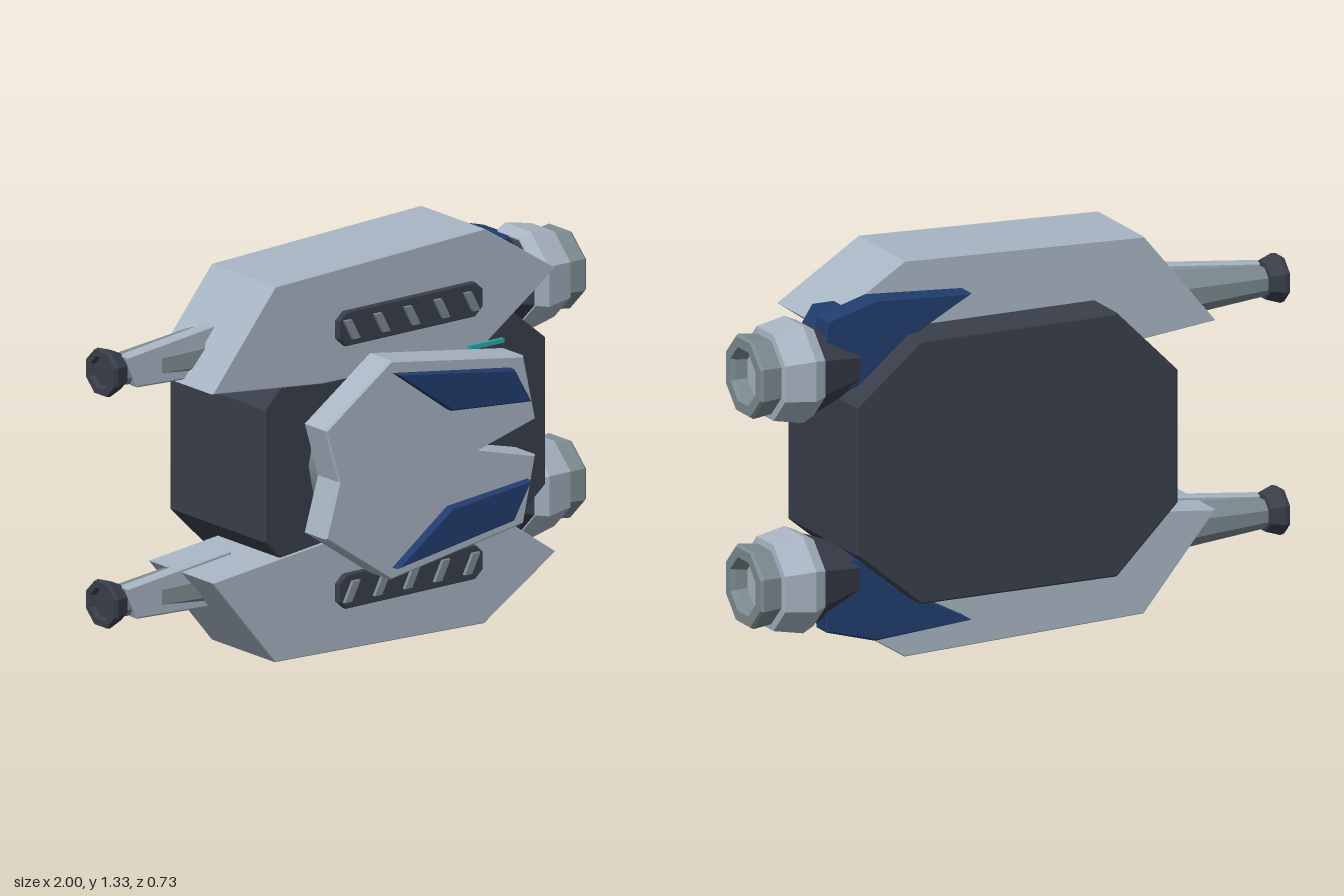
import * as THREE from 'three';

const MID = 0.667; // height of the plane the upper and lower halves mirror about

const paint = (name, color) => {
  const m = new THREE.MeshStandardMaterial({ color });
  m.name = name;
  return m;
};

export function createModel() {
  const light = paint('light armour', 0xa8b5c3);
  const grey = paint('grey metal', 0x7c8b90);
  const dark = paint('dark metal', 0x393e4a);
  const blue = paint('navy blue', 0x213d6e);
  const teal = paint('teal', 0x2aa9ad);
  const root = new THREE.Group();

  const add = (name, geo, mat, parent = root) => {
    const mesh = new THREE.Mesh(geo, mat);
    mesh.name = name;
    parent.add(mesh);
    return mesh;
  };

  // Outline in x, y extruded from z0 to z1; s = -1 mirrors it to the lower half
  const plate = (name, pts, z0, z1, mat, parent = root, s = 1, bevel = 0.006) => {
    const shape = new THREE.Shape(pts.map(([x, y]) => new THREE.Vector2(x, MID + s * (y - MID))));
    const geo = new THREE.ExtrudeGeometry(shape, {
      depth: z1 - z0 - 2 * bevel, bevelEnabled: bevel > 0, bevelSize: bevel,
      bevelThickness: bevel, bevelOffset: -bevel, bevelSegments: 1,
    });
    geo.translate(0, 0, z0 + bevel);
    return add(name, geo, mat, parent);
  };

  // Faceted eight-sided turning along x; the profile lists [x, distance to flat]
  const turned = (name, profile, y, z, mat, parent) => {
    const pts = profile.map(([x, r]) => new THREE.Vector2(r / Math.cos(Math.PI / 8), x));
    let geo = new THREE.LatheGeometry(pts, 8, Math.PI / 8);
    geo.rotateZ(-Math.PI / 2);
    geo = geo.toNonIndexed();
    geo.computeVertexNormals();
    geo.translate(0, y, z);
    return add(name, geo, mat, parent);
  };

  // Central hull
  plate('hull', [[-0.49, 0.89], [-0.27, 1.11], [0.44, 1.11], [0.675, 0.915],
    [0.675, 0.419], [0.44, 0.224], [-0.27, 0.224], [-0.49, 0.444]], -0.36, 0.13, dark);

  // Stepped mount carrying the front shield
  [[0.262, 0.12, 0.21, grey], [0.135, 0.2, 0.23, dark]].forEach(([r, z0, z1, mat], i) => {
    const geo = new THREE.CylinderGeometry(r, r, z1 - z0, 16);
    geo.rotateX(Math.PI / 2);
    geo.translate(-0.045, MID, (z0 + z1) / 2);
    add(i ? 'shieldPivot' : 'shieldMount', geo, mat);
  });

  // Notched front shield
  const half = [[-0.345, 0.667], [-0.4, 0.85], [-0.13, 1.037], [0.42, 0.95], [0.47, 0.727]];
  const lower = half.slice(1).reverse().map(([x, y]) => [x, 2 * MID - y]);
  plate('frontShield', [...half, [0.235, 0.667], ...lower], 0.22, 0.335, light);

  for (const s of [1, -1]) {
    const side = new THREE.Group();
    side.name = s > 0 ? 'upperSide' : 'lowerSide';
    root.add(side);
    const yAt = (y) => MID + s * (y - MID);

    // Armour pod
    plate('pod', [[-0.71, 0.985], [-0.45, 1.3], [0.415, 1.332], [0.71, 1.145],
      [0.4, 0.93], [-0.25, 0.935]], -0.193, 0.137, light, side, s, 0.003);

    // Shield inlay and glowing strip
    plate('shieldInlay', [[-0.125, 0.995], [0.36, 0.922], [0.43, 0.8], [0.1, 0.83]],
      0.33, 0.365, blue, side, s);
    plate('lightStrip', [[0.29, 0.965], [0.29, 0.98], [0.43, 0.98], [0.43, 0.965]],
      0.208, 0.22, teal, side, s, 0);

    // Vent with slanted slats
    plate('vent', [[-0.205, 1.08], [-0.205, 1.14], [-0.175, 1.167], [0.36, 1.167],
      [0.39, 1.14], [0.39, 1.08], [0.36, 1.052], [-0.175, 1.052]],
    0.137, 0.16, dark, side, s, 0.003);
    for (let i = 0; i < 5; i++) {
      const x = -0.155 + i * 0.124;
      plate('ventSlat', [[x - 0.035, 1.142], [x - 0.005, 1.142], [x + 0.03, 1.075], [x, 1.075]],
        0.158, 0.172, grey, side, s, 0);
    }

    // Engine bracket: block plus rear fin tapering forward along the pod
    plate('engineBracket', [[0.5, 1.0], [0.55, 1.2], [0.7, 1.2], [0.752, 1.12], [0.65, 0.95]],
      -0.272, -0.09, blue, side, s);
    plate('bracketFin', [[0.21, 1.215], [0.56, 1.24], [0.735, 1.19], [0.745, 1.1],
      [0.65, 0.95], [0.5, 1.06]], -0.272, -0.19, blue, side, s);

    // Engine: neck, cowl, nozzle ring and recessed core
    const ey = yAt(1.02), ez = -0.193;
    turned('engineNeck', [[0.62, 0], [0.62, 0.085], [0.78, 0.142]], ey, ez, dark, side);
    turned('engineCowl', [[0.77, 0], [0.775, 0.145], [0.817, 0.163], [0.92, 0.144], [0.925, 0.11]],
      ey, ez, light, side);
    turned('engineNozzle', [[0.92, 0.122], [0.99, 0.13], [1.0, 0.123], [1.0, 0.09],
      [0.985, 0.083], [0.94, 0.076]], ey, ez, grey, side);
    turned('engineCore', [[0.92, 0.08], [0.945, 0.08], [0.945, 0]], ey, ez, light, side);

    // Gun: tapered barrel, muzzle and guard blade, with the same way up on both sides
    const gun = new THREE.Group();
    gun.name = 'gun';
    gun.position.y = s > 0 ? 0 : -0.78;
    side.add(gun);
    turned('gunBarrel', [[-0.95, 0], [-0.95, 0.046], [-0.62, 0.073], [-0.5, 0.073], [-0.5, 0]],
      1.06, -0.082, grey, gun);
    turned('gunMuzzle', [[-0.985, 0], [-0.985, 0.045], [-1.0, 0.052], [-1.0, 0.073],
      [-0.985, 0.076], [-0.935, 0.06], [-0.93, 0]], 1.062, -0.08, dark, gun);
    plate('gunBlade', [[-0.94, 1.115], [-0.5, 1.165], [-0.5, 0.985], [-0.89, 1.005]],
      -0.068, -0.023, light, gun);
  }

  return root;
}
